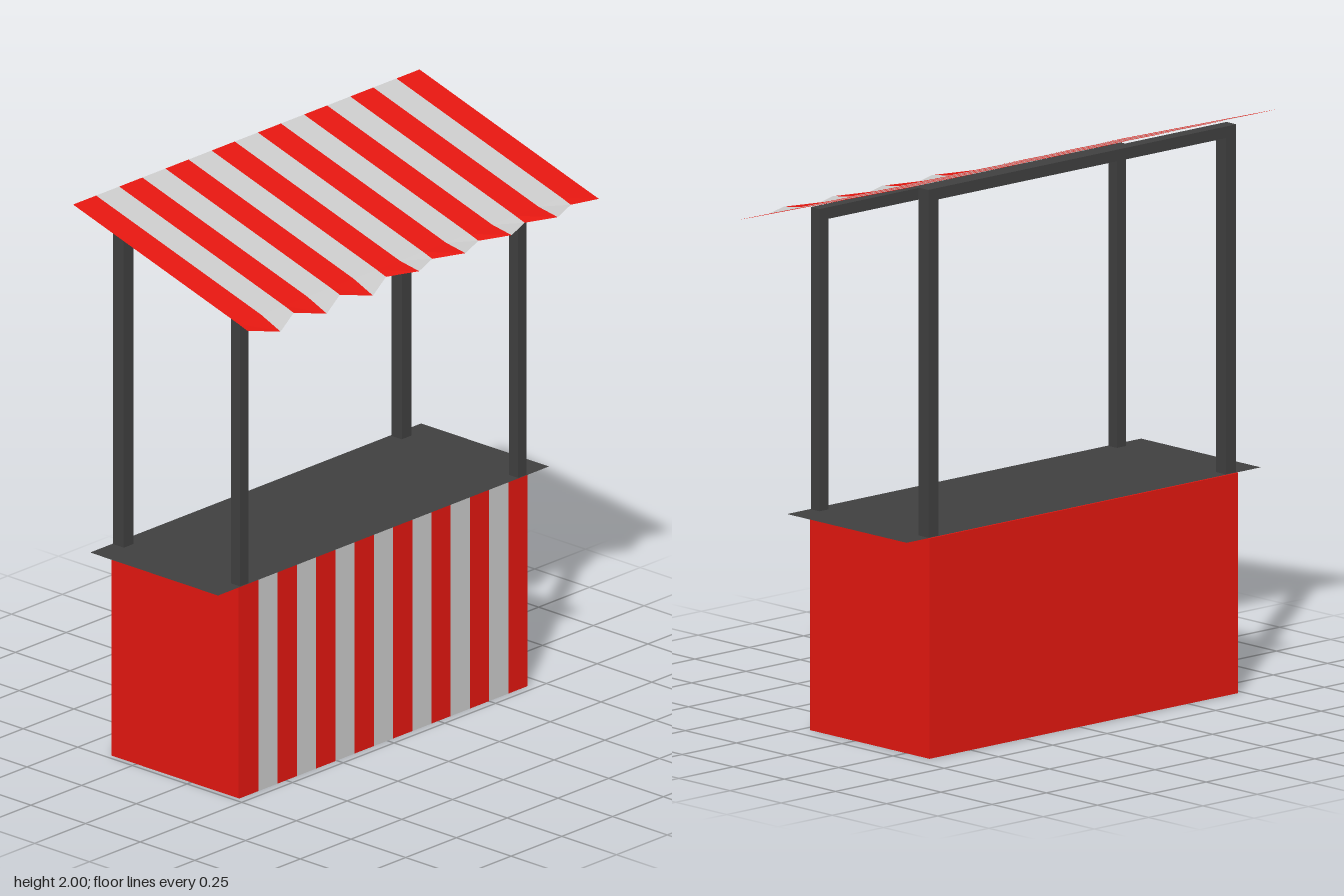
import * as THREE from 'three';

const mat = (color) => new THREE.MeshStandardMaterial({ color, flatShading: true, side: THREE.DoubleSide });

export function createModel() {
  const stall = new THREE.Group();
  stall.name = 'marketStall';
  const red = mat(0xe41710), grey = mat(0xcccccc), dark = mat(0x404040);

  const add = (name, geometry, material, parent = stall) => {
    const mesh = new THREE.Mesh(geometry, material);
    mesh.name = name;
    parent.add(mesh);
    return mesh;
  };
  // Box given by its minimum and maximum corners
  const box = (name, [x0, y0, z0], [x1, y1, z1], material) =>
    add(name, new THREE.BoxGeometry(x1 - x0, y1 - y0, z1 - z0), material)
      .position.set((x0 + x1) / 2, (y0 + y1) / 2, (z0 + z1) / 2);

  // Counter body with a striped serving side
  const H = 0.76, zNear = 0.73, zFar = -0.69, COUNT = 15;
  box('counterBody', [-0.365, 0, zFar], [0.217, H - 0.002, zNear], red);
  const panel = new THREE.Group();
  panel.name = 'stripedPanel';
  stall.add(panel);
  const w = (zNear - zFar) / COUNT;
  for (let i = 0; i < COUNT; i++) {
    const stripe = add('panelStripe', new THREE.PlaneGeometry(w, H), i % 2 ? grey : red, panel);
    stripe.rotation.y = Math.PI / 2;
    stripe.position.set(0.22, H / 2, zNear - (i + 0.5) * w);
  }

  // Thin counter top overhanging both ends
  const top = add('counterTop', new THREE.PlaneGeometry(0.585, 1.63), dark);
  top.rotation.x = -Math.PI / 2;
  top.position.set(-0.072, H, 0.02);

  // Two pairs of posts, each pair joined by a beam under the canopy
  for (const [name, x0, x1, y] of [['back', -0.36, -0.312, 1.957], ['front', 0.175, 0.217, 1.80]]) {
    for (const z of [0.702, -0.667]) {
      const r = (x1 - x0) / 2;
      box(name + 'Post', [x0, H, z - r], [x1, y, z + r], dark);
    }
    box(name + 'Beam', [x0, y - 0.04, -0.647], [x1, y, 0.682], dark);
  }

  // Sloping striped canopy with a zigzag lower edge
  const canopy = new THREE.Group();
  canopy.name = 'canopy';
  stall.add(canopy);
  const edge = (i) => {
    const z = 0.853 - i * 1.706 / COUNT;
    const out = i % 2 === 1;
    const tip = !out ? [0.372, 1.757, z]
      : i === COUNT ? [0.395, 1.752, z]
      : [0.418, i < 6 ? 1.734 : 1.757, z];
    return [[-0.426, 2, z], [0.33, 1.771, z], tip];
  };
  for (let i = 0; i < COUNT; i++) {
    const a = edge(i), b = edge(i + 1);
    const geometry = new THREE.BufferGeometry();
    geometry.setAttribute('position', new THREE.Float32BufferAttribute([...a, ...b].flat(), 3));
    geometry.setIndex([0, 1, 4, 0, 4, 3, 1, 2, 5, 1, 5, 4]);
    geometry.computeVertexNormals();
    add('canopyStripe', geometry, i % 2 ? grey : red, canopy);
  }
  return stall;
}
